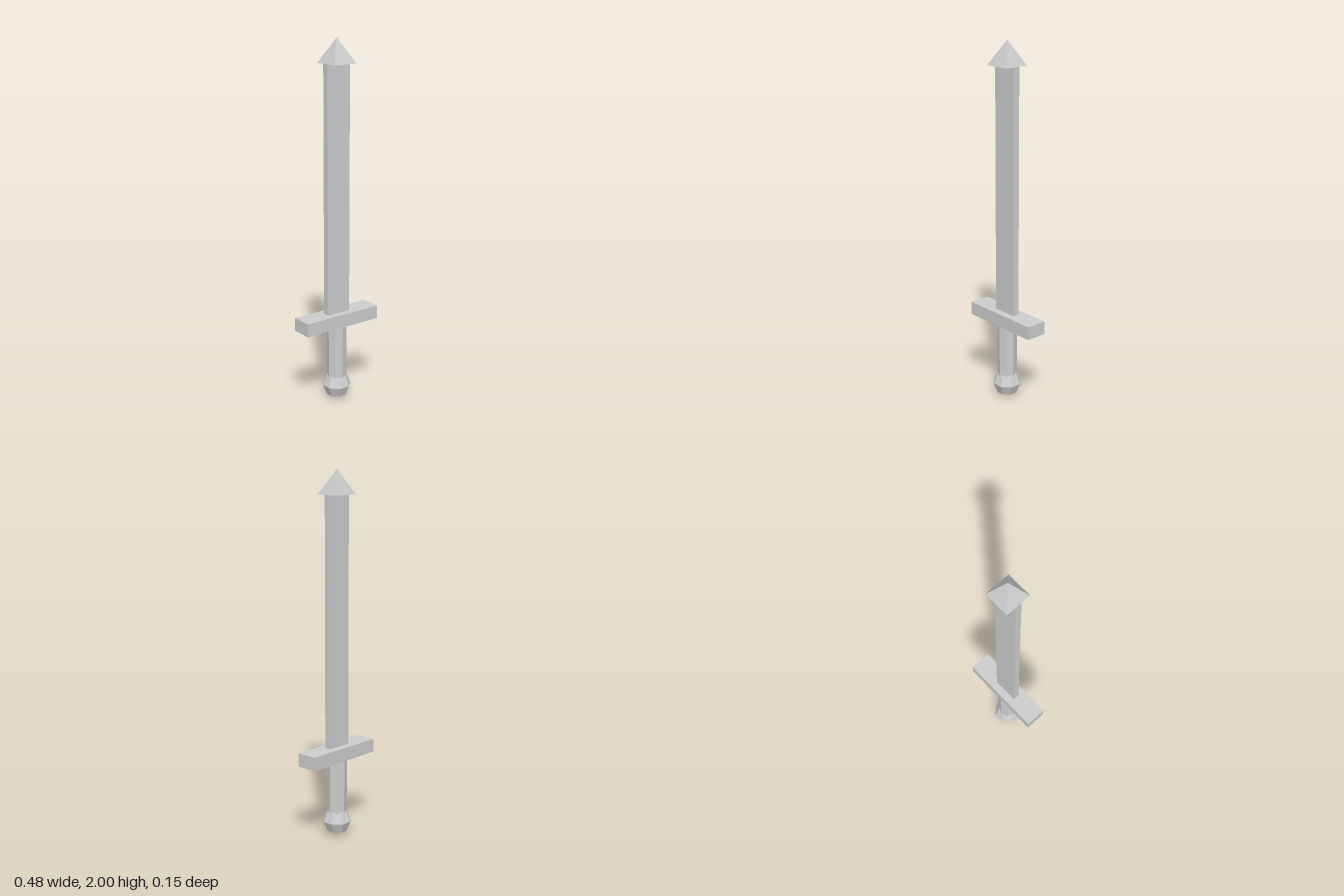
import * as THREE from 'three';

export function createModel() {
  const group = new THREE.Group();
  const steel = new THREE.MeshStandardMaterial({ color: 0xcccccc });
  steel.name = 'grey steel';
  steel.flatShading = true;

  const add = (name, geometry, y) => {
    const mesh = new THREE.Mesh(geometry, steel);
    mesh.name = name;
    mesh.position.y = y;
    group.add(mesh);
  };
  // Box spanning two heights, centred on the sword's axis
  const bar = (name, width, depth, y0, y1) =>
    add(name, new THREE.BoxGeometry(width, y1 - y0, depth), (y0 + y1) / 2);

  const guardBottom = 0.434, guardTop = 0.508, bladeTop = 1.868, bladeWidth = 0.145;

  // Faceted pommel, its flat sides turned to the front
  const pommelRadius = 0.08;
  add('pommel', new THREE.SphereGeometry(pommelRadius, 8, 4).rotateY(Math.PI / 8), pommelRadius);

  // Eight-sided grip, an edge at the front
  const gripLength = guardBottom - pommelRadius;
  add('grip', new THREE.CylinderGeometry(0.055, 0.055, gripLength, 8), pommelRadius + gripLength / 2);

  // Crossguard and flat blade
  bar('crossguard', 0.476, 0.12, guardBottom, guardTop);
  bar('blade', bladeWidth, 0.037, guardTop, bladeTop);

  // Square pyramid tip, as deep as the blade is wide
  const tipHeight = 2 - bladeTop;
  const tip = new THREE.ConeGeometry(bladeWidth / Math.SQRT2, tipHeight, 4).rotateY(Math.PI / 4);
  add('tip', tip, bladeTop + tipHeight / 2);

  return group;
}
